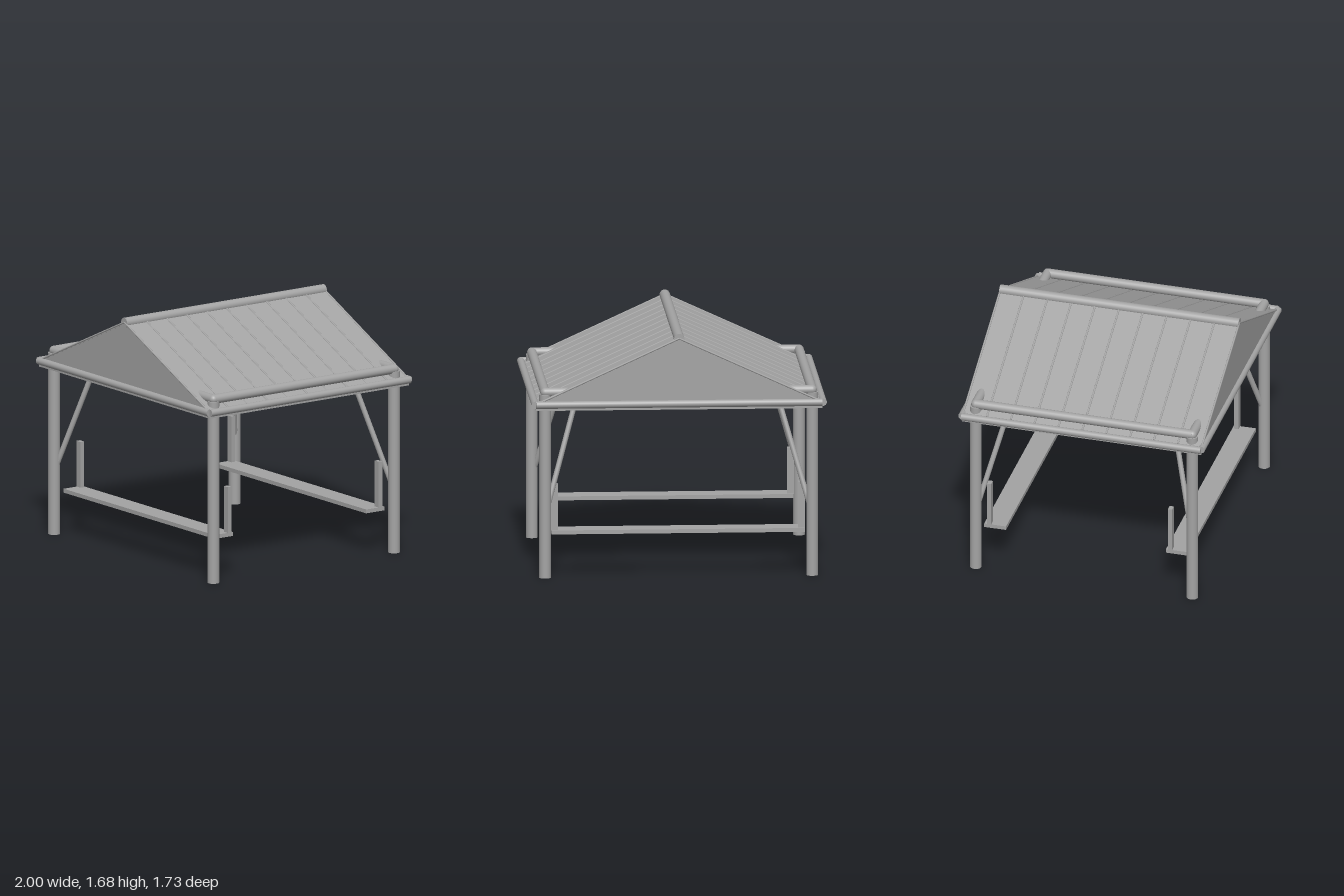
import * as THREE from 'three';

export function createModel() {
  const model = new THREE.Group();
  const grey = new THREE.MeshStandardMaterial({ color: 0xa3a3a3 });
  grey.name = 'plain grey';

  const add = (name, geometry, x = 0, y = 0, z = 0) => {
    const mesh = new THREE.Mesh(geometry, grey);
    mesh.name = name;
    mesh.position.set(x, y, z);
    model.add(mesh);
    return mesh;
  };
  const box = (name, w, h, d, x, y, z) => add(name, new THREE.BoxGeometry(w, h, d), x, y, z);
  // Round bar between two points
  const bar = (name, r, from, to, sides = 24) => {
    const a = new THREE.Vector3(...from), b = new THREE.Vector3(...to);
    const mesh = add(name, new THREE.CylinderGeometry(r, r, a.distanceTo(b), sides));
    mesh.position.copy(a).add(b).multiplyScalar(0.5);
    mesh.quaternion.setFromUnitVectors(new THREE.Vector3(0, 1, 0), b.sub(a).normalize());
    return mesh;
  };

  const postX = 0.905, postZ = 0.76, railY = 1.273;
  const halfDepth = 0.84, eaveX = 0.965, eaveY = 1.205, ridgeY = 1.648;

  // Posts with rounded rail corners and slanting braces
  for (const sx of [-1, 1]) {
    for (const sz of [-1, 1]) {
      bar('post', 0.04, [sx * postX, 0, sz * postZ], [sx * postX, 1.26, sz * postZ]);
      add('railCorner', new THREE.SphereGeometry(0.032, 20, 14), sx * postX, railY, sz * postZ);
      bar('brace', 0.018, [sx * 0.897, 0.45, sz * 0.757], [sx * 0.664, 1.26, sz * 0.555], 16);
    }
  }

  // Upper rail frame and the eave beams
  for (const s of [-1, 1]) {
    bar('sideRail', 0.032, [s * postX, railY, -postZ], [s * postX, railY, postZ]);
    bar('tieBeam', 0.032, [-postX, railY, s * postZ], [postX, railY, s * postZ]);
    bar('sideEaveBeam', 0.025, [s * 0.975, 1.2, -halfDepth], [s * 0.975, 1.2, halfDepth]);
    bar('endEaveBeam', 0.025, [-0.97, 1.2, s * halfDepth], [0.97, 1.2, s * halfDepth]);
    box('eaveStrip', 0.008, 0.045, halfDepth * 2, s * eaveX, 1.182, 0);
  }

  // Sloping roof panels and their ribs
  const slope = Math.atan2(ridgeY - eaveY, eaveX);
  const length = Math.hypot(ridgeY - eaveY, eaveX);
  for (const s of [-1, 1]) {
    const panel = box('roofPanel', length, 0.012, halfDepth * 2,
      s * eaveX / 2, (ridgeY + eaveY) / 2 - 0.006, 0);
    panel.rotation.z = -s * slope;
    for (let i = -5; i <= 5; i++) {
      const z = i * 0.1675;
      bar('roofRib', 0.007, [0, ridgeY, z], [s * 0.95, 1.212, z], 8);
    }
  }
  bar('ridgeBeam', 0.035, [0, 1.645, -halfDepth], [0, 1.645, halfDepth]);

  // Gable ends
  const gable = new THREE.Shape([
    new THREE.Vector2(-eaveX, 1.16), new THREE.Vector2(eaveX, 1.16),
    new THREE.Vector2(eaveX, eaveY - 0.012), new THREE.Vector2(0, ridgeY - 0.012),
    new THREE.Vector2(-eaveX, eaveY - 0.012),
  ]);
  for (const z of [-0.838, 0.83]) {
    add('gable', new THREE.ExtrudeGeometry(gable, { depth: 0.008, bevelEnabled: false }), 0, 0, z);
  }

  // Benches with an upright at each end
  for (const [benchZ, uprightZ] of [[0.638, 0.59], [-0.638, -0.68]]) {
    box('benchSeat', 1.715, 0.027, 0.153, 0, 0.301, benchZ);
    for (const s of [-1, 1]) box('benchUpright', 0.046, 0.32, 0.03, s * 0.837, 0.472, uprightZ);
  }

  return model;
}
